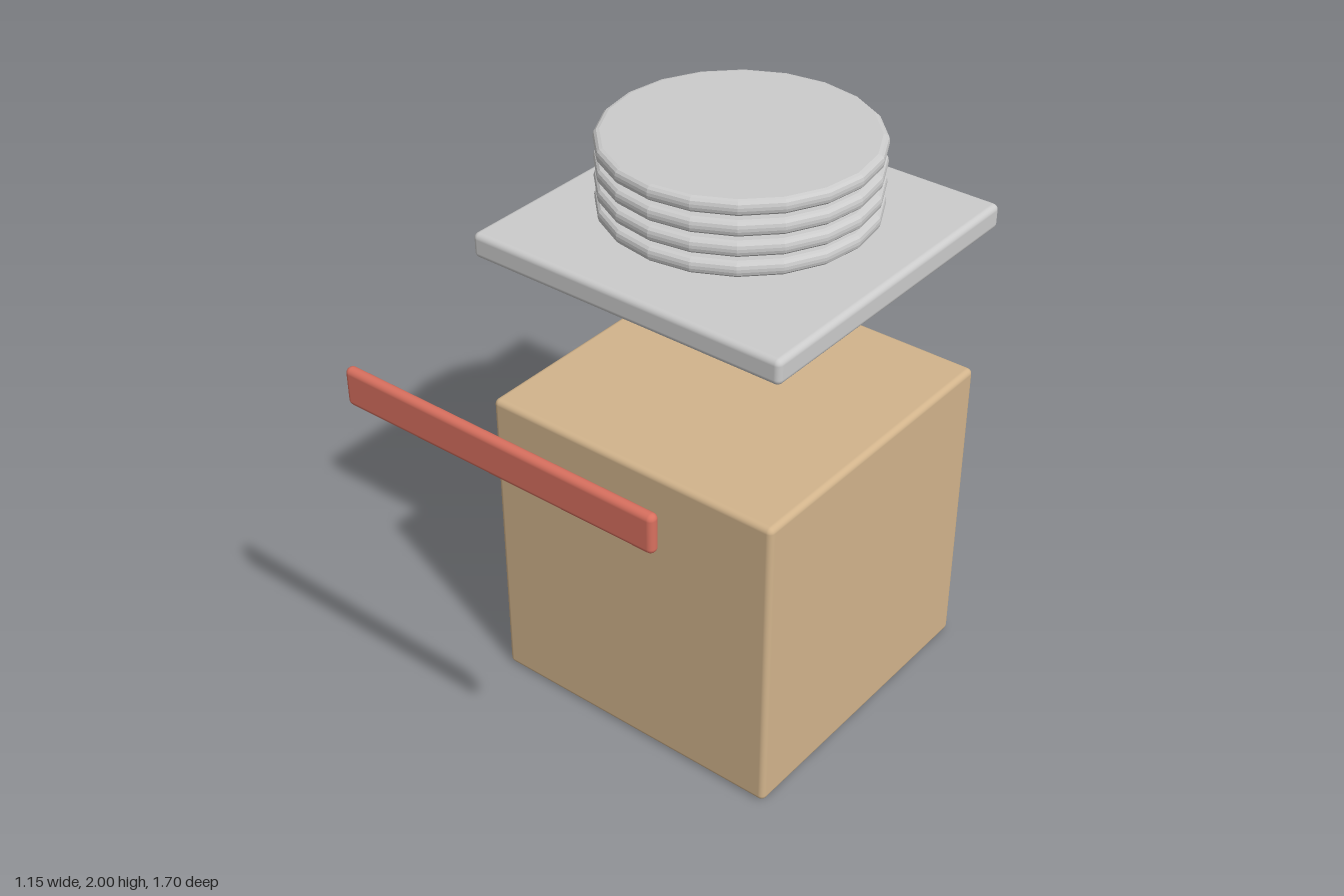
import * as THREE from 'three';
import { RoundedBoxGeometry } from 'three/addons/geometries/RoundedBoxGeometry.js';

const CENTER_Z = -0.277;

export function createModel() {
  const model = new THREE.Group();
  const grey = new THREE.MeshStandardMaterial({ color: 0xcccccc });
  const facetedGrey = new THREE.MeshStandardMaterial({ color: 0xcccccc, flatShading: true });
  const tan = new THREE.MeshStandardMaterial({ color: 0xd2b48c });
  const red = new THREE.MeshStandardMaterial({ color: 0xd9705f });

  const add = (name, geometry, material, x, y, z) => {
    const mesh = new THREE.Mesh(geometry, material);
    mesh.name = name;
    mesh.position.set(x, y, z);
    model.add(mesh);
  };

  // Softly bevelled crate
  add('crate', new RoundedBoxGeometry(1.1, 1.106, 1.106, 3, 0.02), tan, 0, 0.553, CENTER_Z);

  // Square lid floating over the crate
  add('lid', new RoundedBoxGeometry(1.146, 0.085, 1.146, 3, 0.02), grey, 0, 1.667, CENTER_Z);

  // Thin strip floating in front
  add('frontStrip', new RoundedBoxGeometry(1.146, 0.128, 0.038, 3, 0.0185), red, 0, 1.445, 0.83);

  // Stack of separate twenty-sided discs with rounded rims
  const radius = 0.44, half = 0.025, bevel = 0.02;
  const profile = [new THREE.Vector2(0, -half)];
  const arc = (cy, start) => {
    for (let i = 0; i <= 3; i++) {
      const a = start + (i / 3) * Math.PI / 2;
      profile.push(new THREE.Vector2(radius - bevel + bevel * Math.cos(a), cy + bevel * Math.sin(a)));
    }
  };
  arc(-half + bevel, -Math.PI / 2);
  arc(half - bevel, 0);
  profile.push(new THREE.Vector2(0, half));
  const discGeometry = new THREE.LatheGeometry(profile, 20);
  for (let i = 0; i < 4; i++) {
    add(`disc${i + 1}`, discGeometry, facetedGrey, 0, 1.778 + i * 0.0657, CENTER_Z - 0.001);
  }

  return model;
}
